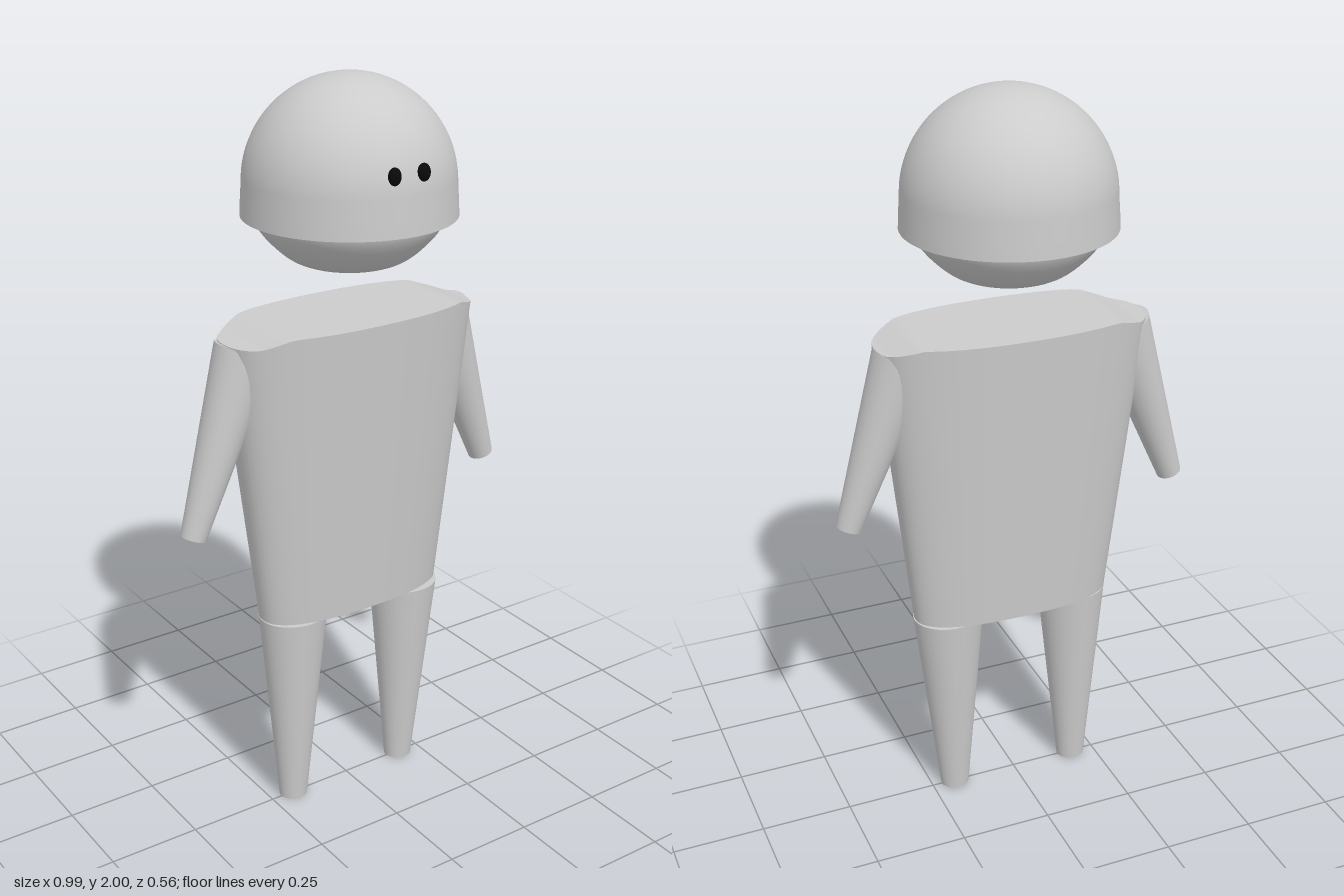
import * as THREE from 'three';

const grey = new THREE.MeshStandardMaterial({ color: 0xcccccc, side: THREE.DoubleSide });
const black = new THREE.MeshStandardMaterial({ color: 0x0a0a0a });

function add(group, name, geometry, material = grey) {
  const mesh = new THREE.Mesh(geometry, material);
  mesh.name = name;
  group.add(mesh);
  return mesh;
}

// Tapered limb running between two points
function limb(group, name, from, to, rFrom, rTo) {
  const a = new THREE.Vector3(...from), b = new THREE.Vector3(...to);
  const dir = a.clone().sub(b);
  const mesh = add(group, name, new THREE.CylinderGeometry(rFrom, rTo, dir.length(), 40));
  mesh.position.copy(a).add(b).multiplyScalar(0.5);
  mesh.quaternion.setFromUnitVectors(new THREE.Vector3(0, 1, 0), dir.normalize());
  return mesh;
}

// Rounded oval torso, widening to the top, with shoulders that drop at the sides
function torsoGeometry() {
  const n = 64, pos = [], idx = [];
  const shoulder = (x) => 1.4 - 0.025 * THREE.MathUtils.clamp((Math.abs(x - 0.02) - 0.26) / 0.08, 0, 1);
  const point = (i, t) => {
    const a = (i / n) * Math.PI * 2, e = 2 / 2.4;
    const c = Math.cos(a), s = Math.sin(a);
    const x = 0.012 - 0.007 * t + Math.sign(c) * Math.abs(c) ** e * (0.278 + 0.09 * t);
    const z = -0.006 * (1 - t) + Math.sign(s) * Math.abs(s) ** e * (0.1 + 0.06 * t);
    return [x, t ? shoulder(x) : 0.575, z];
  };
  // Walls
  for (let i = 0; i <= n; i++) pos.push(...point(i, 0), ...point(i, 1));
  for (let i = 0; i < n; i++) {
    const k = i * 2;
    idx.push(k, k + 1, k + 2, k + 1, k + 3, k + 2);
  }
  // Caps: strips joining the front half to the back half
  for (const t of [0, 1]) {
    const base = pos.length / 3, h = n / 2;
    for (let i = 0; i <= h; i++) pos.push(...point(i, t), ...point(n - i, t));
    for (let i = 0; i < h; i++) {
      const k = base + i * 2;
      if (t) idx.push(k, k + 1, k + 2, k + 1, k + 3, k + 2);
      else idx.push(k, k + 2, k + 1, k + 1, k + 2, k + 3);
    }
  }
  const g = new THREE.BufferGeometry();
  g.setAttribute('position', new THREE.Float32BufferAttribute(pos, 3));
  g.setIndex(idx);
  g.computeVertexNormals();
  return g;
}

export function createModel() {
  const model = new THREE.Group();
  model.name = 'figure';

  add(model, 'torso', torsoGeometry());

  // Arms and legs
  limb(model, 'leftArm', [0.3, 1.352, -0.008], [0.463, 0.892, -0.004], 0.08, 0.034);
  limb(model, 'rightArm', [-0.298, 1.35, -0.008], [-0.467, 0.876, -0.004], 0.08, 0.034);
  limb(model, 'leftLeg', [0.193, 0.57, 0], [0.183, 0, 0], 0.097, 0.04).scale.z = 0.9;
  limb(model, 'rightLeg', [-0.174, 0.575, 0], [-0.181, 0, 0], 0.095, 0.04).scale.z = 0.9;

  // Head: lower face emerging from a domed cap
  const head = new THREE.Group();
  head.name = 'head';
  head.position.set(0.012, 0, -0.003);
  model.add(head);

  const chin = new THREE.SplineCurve([[0, 1.513], [0.08, 1.52], [0.15, 1.541], [0.205, 1.587], [0.24, 1.635], [0.25, 1.68]]
    .map((p) => new THREE.Vector2(...p))).getPoints(24);
  add(head, 'face', new THREE.LatheGeometry(chin, 64));

  const dome = [new THREE.Vector2(0.275, 1.65), new THREE.Vector2(0.273, 1.69)];
  for (let i = 0; i <= 24; i++) {
    const a = (i / 24) * Math.PI / 2;
    dome.push(new THREE.Vector2(0.27 * Math.cos(a), 1.73 + 0.27 * Math.sin(a)));
  }
  add(head, 'cap', new THREE.LatheGeometry(dome, 64));

  // Underside of the cap rim
  const rim = [new THREE.Vector2(0.24, 1.665), new THREE.Vector2(0.275, 1.65)];
  add(head, 'capRim', new THREE.LatheGeometry(rim, 64));

  // Eyes
  for (const [name, x] of [['leftEye', 0.043], ['rightEye', -0.042]]) {
    const eye = add(model, name, new THREE.SphereGeometry(1, 24, 16), black);
    eye.scale.set(0.016, 0.022, 0.016);
    eye.position.set(x, 1.8, 0.262);
  }
  return model;
}
